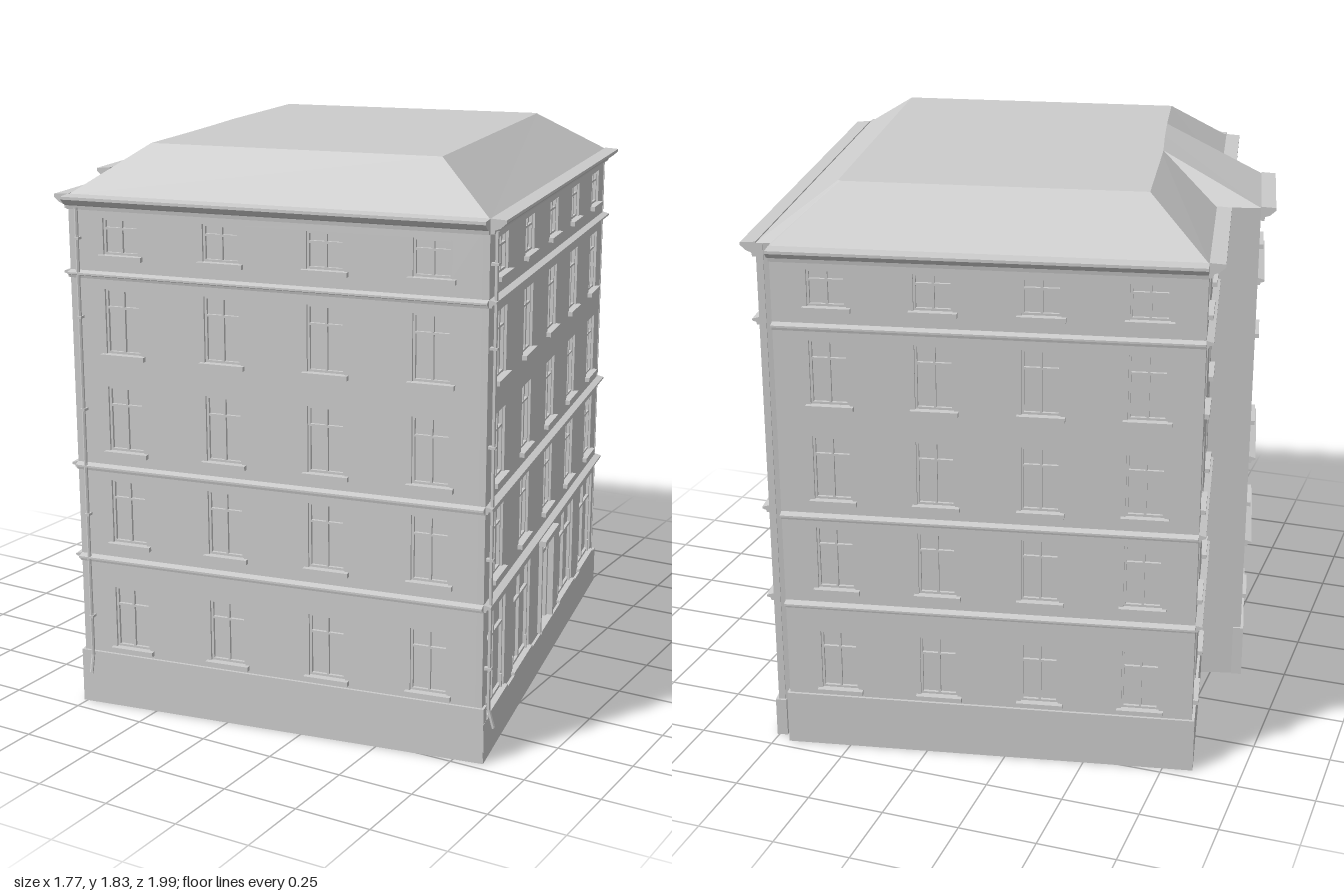
import * as THREE from 'three';

const mat = new THREE.MeshStandardMaterial({ color: 0xcccccc, flatShading: true, side: THREE.DoubleSide });
const WALL = 0.022;

// Footprint corners [x, z]
const FL = [-0.505, 0.94], FR = [0.835, 0.71], BR = [0.5, -0.93];
const NOTCH = [0.458, -0.915], BN = [0.445, -0.955], BL = [-0.835, -0.7];
const RECESS = [-0.71, -0.08], BAY_B = [-0.845, -0.04], BAY_F = [-0.75, 0.41], JOIN = [-0.613, 0.4];

// Window storeys: [bottom, top]
const STOREYS = [[0.205, 0.41], [0.565, 0.775], [0.873, 1.083], [1.19, 1.397], [1.505, 1.62]];

// Moulding profiles: [projection, y]
const STRING = [[0, 0], [0.008, 0], [0.01, 0.008], [0.022, 0.012], [0.022, 0.018], [0, 0.024]];
const EAVES = [[0, 0], [0.012, 0], [0.014, 0.012], [0.03, 0.018], [0.048, 0.034], [0.048, 0.043], [0, 0.046]];

function add(parent, name, geometry, x = 0, y = 0, z = 0) {
  const mesh = new THREE.Mesh(geometry, mat);
  mesh.name = name;
  mesh.position.set(x, y, z);
  parent.add(mesh);
  return mesh;
}

// Box given by its extents
function block(parent, name, x0, x1, y0, y1, z0, z1) {
  return add(parent, name, new THREE.BoxGeometry(x1 - x0, y1 - y0, z1 - z0),
    (x0 + x1) / 2, (y0 + y1) / 2, (z0 + z1) / 2);
}

function moulding(parent, name, profile, length, y) {
  const shape = new THREE.Shape(profile.map(([p, h]) => new THREE.Vector2(-p, h)));
  const geo = new THREE.ExtrudeGeometry(shape, { depth: length, bevelEnabled: false });
  add(parent, name, geo.rotateY(Math.PI / 2), 0, y, 0);
}

// Recessed pane with frame, mullion and transom
function glazing(parent, o, bar) {
  const { x, w, y0, y1 } = o, l = x - w / 2, r = x + w / 2;
  const t = y0 + (y1 - y0) * 0.71, back = -0.018, front = -0.008;
  block(parent, 'windowPane', l, r, y0, y1, -WALL, back);
  block(parent, 'windowFrame', l, l + bar, y0, y1, back, front);
  block(parent, 'windowFrame', r - bar, r, y0, y1, back, front);
  block(parent, 'windowFrame', l, r, y0, y0 + bar, back, front);
  block(parent, 'windowFrame', l, r, y1 - bar, y1, back, front);
  block(parent, 'windowMullion', x - bar / 2, x + bar / 2, y0, y1, back, front);
  block(parent, 'windowTransom', l, r, t - bar / 2, t + bar / 2, back, front);
}

function windowUnit(parent, o) {
  glazing(parent, o, 0.007);
  block(parent, 'windowSill', o.x - o.w / 2 - 0.014, o.x + o.w / 2 + 0.014, o.y0 - 0.015, o.y0, -0.01, 0.016);
}

function shopWindow(parent, o) {
  glazing(parent, o, 0.009);
  for (const s of [-1, 1]) {
    const c = o.x + s * (o.w / 2 - 0.02);
    block(parent, 'shopWindowFoot', c - 0.004, c + 0.004, o.y0, o.y0 + 0.045, -0.01, -0.002);
  }
  block(parent, 'shopSill', o.x - o.w / 2 - 0.01, o.x + o.w / 2 + 0.01, o.y0 - 0.01, o.y0, -0.01, 0.012);
}

function doorway(parent, o) {
  const { x, w, y0, y1 } = o, h = w / 2;
  block(parent, 'doorBack', x - h, x + h, y0, y1, -0.04, -0.035);
  for (const s of [-1, 1]) {
    const c = x + s * (h + 0.007), leaf = x + s * 0.035, j = x + s * (h - 0.008);
    block(parent, 'doorPilaster', c - 0.007, c + 0.007, y0, y1, -0.01, 0.012);
    block(parent, 'doorJamb', j - 0.008, j + 0.008, y0, y1, -0.035, -0.008);
    block(parent, 'doorLeaf', leaf - 0.031, leaf + 0.031, y0 + 0.01, y1 - 0.075, -0.035, -0.027);
    block(parent, 'doorPanel', leaf - 0.019, leaf + 0.019, y0 + 0.1, y1 - 0.09, -0.027, -0.022);
    block(parent, 'doorPanel', leaf - 0.019, leaf + 0.019, y0 + 0.025, y0 + 0.08, -0.027, -0.022);
  }
  block(parent, 'doorTransom', x - h, x + h, y1 - 0.07, y1 - 0.057, -0.035, -0.012);
  block(parent, 'doorHandle', x + 0.006, x + 0.011, y0 + 0.11, y0 + 0.15, -0.027, -0.014);
  block(parent, 'doorLintel', x - h - 0.02, x + h + 0.02, y1, y1 + 0.018, -0.01, 0.025);
  block(parent, 'doorStep', x - h, x + h, y0 - 0.01, y0, -0.04, 0.014);
}

// One facade: local x runs along the wall, local z points outward
function facade(root, name, a, b, { columns = [], w = 0.12, base = 0.18, shops = false, plain = false, pipes = [] } = {}) {
  const dx = b[0] - a[0], dz = b[1] - a[1], L = Math.hypot(dx, dz);
  const g = new THREE.Group();
  g.name = name;
  g.position.set(a[0], 0, a[1]);
  g.rotation.y = Math.atan2(-dz, dx);
  root.add(g);

  const openings = [];
  columns.forEach((f, i) => STOREYS.forEach(([y0, y1], s) => {
    let o = { x: f * L, w, y0, y1, make: windowUnit };
    if (shops && s === 0) {
      o = i === 2 ? { x: f * L, w: 0.165, y0: 0.14, y1: 0.455, make: doorway }
        : { x: f * L, w: 0.228, y0: 0.145, y1: 0.455, make: shopWindow };
    }
    openings.push(o);
  }));

  const shape = new THREE.Shape([[0, 0], [L, 0], [L, 1.685], [0, 1.685]].map(p => new THREE.Vector2(...p)));
  for (const { x, w: ow, y0, y1 } of openings) {
    shape.holes.push(new THREE.Path([[x - ow / 2, y0], [x - ow / 2, y1], [x + ow / 2, y1], [x + ow / 2, y0]]
      .map(p => new THREE.Vector2(...p))));
  }
  add(g, 'wall', new THREE.ExtrudeGeometry(shape, { depth: WALL, bevelEnabled: false }), 0, 0, -WALL);
  openings.forEach(o => o.make(g, o));

  if (!plain) {
    block(g, 'plinth', -0.008, L + 0.008, 0, base, -WALL - 0.004, 0.009);
    for (const y of [0.492, 0.802, 1.428]) moulding(g, 'stringCourse', STRING, L, y);
    moulding(g, 'eavesCornice', EAVES, L, 1.643);
  }
  // Downpipes with a bent foot and wall brackets
  for (const x of pipes) {
    const path = new THREE.CatmullRomCurve3([[1.65, 0.016], [0.4, 0.016], [0.16, 0.016], [0.13, 0.02], [0.11, 0.032]]
      .map(([y, z]) => new THREE.Vector3(x, y, z)), false, 'centripetal');
    add(g, 'downpipe', new THREE.TubeGeometry(path, 24, 0.006, 6));
    for (const y of [0.3, 0.65, 1.0, 1.3, 1.55]) block(g, 'pipeBracket', x - 0.008, x + 0.008, y, y + 0.008, 0, 0.024);
  }
}

// Hipped roof: eaves ring joined to an inset flat top
function roof(root) {
  const outer = [FL, FR, BR, NOTCH, BN, BL, RECESS, BAY_B, BAY_F, JOIN];
  const inner = [[-0.35, 0.71], [0.59, 0.54], [0.34, -0.67], [0.335, -0.675], [0.33, -0.68], [-0.6, -0.5],
    [-0.51, -0.02], [-0.5, 0.03], [-0.45, 0.24], [-0.41, 0.42]];
  const pos = [], n = outer.length;
  const tri = (...pts) => pts.forEach(([p, y]) => pos.push(p[0], y, p[1]));
  const E = 1.685, T = 1.83;
  for (let i = 0; i < n; i++) {
    const j = (i + 1) % n;
    tri([outer[i], E], [outer[j], E], [inner[j], T]);
    tri([outer[i], E], [inner[j], T], [inner[i], T]);
    tri([inner[i], T], [inner[j], T], [[0, 0], T]);
  }
  const geo = new THREE.BufferGeometry();
  geo.setAttribute('position', new THREE.Float32BufferAttribute(pos, 3));
  geo.computeVertexNormals();
  add(root, 'roof', geo);
}

export function createModel() {
  const root = new THREE.Group();
  root.name = 'apartmentBuilding';
  const four = [0.13, 0.378, 0.627, 0.873];

  facade(root, 'frontFacade', FL, FR, { columns: four, pipes: [0.035] });
  facade(root, 'streetFacade', FR, BR, { columns: [0.095, 0.297, 0.5, 0.699, 0.9], base: 0.13, shops: true, pipes: [0.022] });
  facade(root, 'cornerNotch', BR, NOTCH, { plain: true });
  facade(root, 'cornerNotch', NOTCH, BN, { plain: true });
  facade(root, 'backFacade', BN, BL, { columns: four });
  facade(root, 'sideFacadeRear', BL, RECESS, { columns: [0.24, 0.76] });
  facade(root, 'bayReturn', RECESS, BAY_B, { plain: true });
  facade(root, 'bayFacade', BAY_B, BAY_F, { columns: [0.62], w: 0.13 });
  facade(root, 'bayReturn', BAY_F, JOIN, { plain: true });
  facade(root, 'sideFacadeFront', JOIN, FL, { columns: [0.58], w: 0.13 });
  roof(root);
  return root;
}
